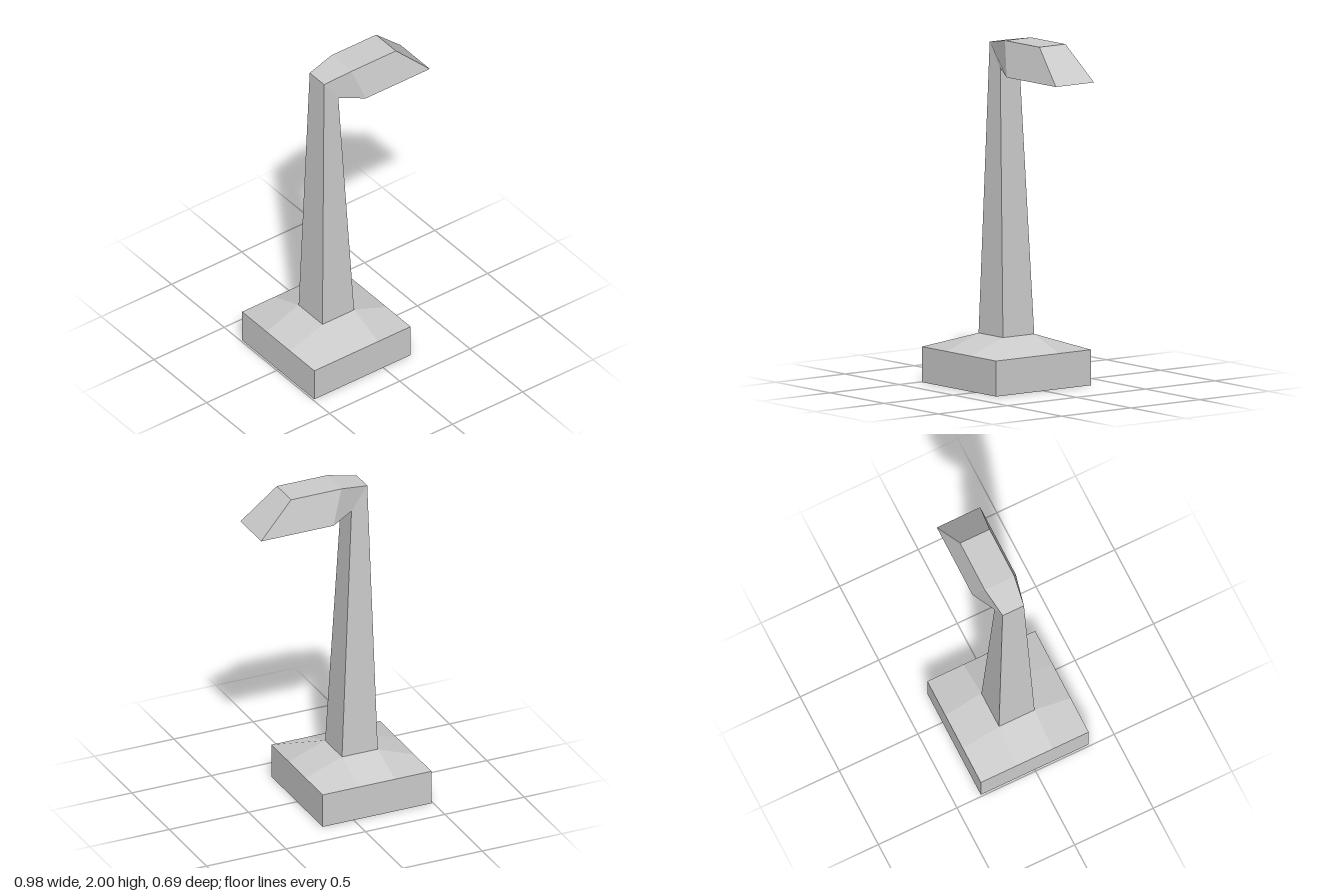
import * as THREE from 'three';

// Flat-shaded geometry from quads [a, b, c, d], split along a-c, one normal per quad.
function quadGeometry(quads) {
  const positions = [], normals = [];
  const ac = new THREE.Vector3(), bd = new THREE.Vector3();
  for (const [a, b, c, d] of quads) {
    ac.subVectors(c, a);
    bd.subVectors(d, b);
    const n = ac.clone().cross(bd).normalize();
    for (const p of [a, b, c, a, c, d]) {
      positions.push(p.x, p.y, p.z);
      normals.push(n.x, n.y, n.z);
    }
  }
  const g = new THREE.BufferGeometry();
  g.setAttribute('position', new THREE.Float32BufferAttribute(positions, 3));
  g.setAttribute('normal', new THREE.Float32BufferAttribute(normals, 3));
  return g;
}

// Four-cornered section, mirrored in z: outer (back/top) and inner (front/underside) edges.
function section([ox, oy, oz], [ix, iy, iz]) {
  return [
    new THREE.Vector3(ox, oy, oz), new THREE.Vector3(ix, iy, iz),
    new THREE.Vector3(ix, iy, -iz), new THREE.Vector3(ox, oy, -oz),
  ];
}

function loft(from, to) {
  return from.map((p, i) => {
    const j = (i + 1) % 4;
    return [p, from[j], to[j], to[i]];
  });
}

export function createModel() {
  const group = new THREE.Group();
  const grey = new THREE.MeshStandardMaterial({ color: 0xcccccc });
  grey.name = 'lightGrey';
  const add = (name, geometry) => {
    const mesh = new THREE.Mesh(geometry, grey);
    mesh.name = name;
    group.add(mesh);
  };

  // Square foot
  const base = new THREE.BoxGeometry(0.685, 0.205, 0.686);
  base.translate(-0.1475, 0.1025, 0);
  add('base', base);

  // Sloping collar: a 3 x 3 grid with the inner ring raised to the post
  const xs = [-0.49, -0.26, -0.035, 0.195];
  const zs = [-0.343, -0.113, 0.113, 0.343];
  const isInner = (i) => i === 1 || i === 2;
  const gridPoint = (i, j) =>
    new THREE.Vector3(xs[i], isInner(i) && isInner(j) ? 0.29 : 0.205, zs[j]);
  const collar = [];
  for (let i = 0; i < 3; i++) {
    for (let j = 0; j < 3; j++) {
      if (i === 1 && j === 1) continue;
      const q = [gridPoint(i, j + 1), gridPoint(i + 1, j + 1), gridPoint(i + 1, j), gridPoint(i, j)];
      if (i === j) q.push(q.shift()); // hip line runs from corner to post
      collar.push(q);
    }
  }
  add('collar', quadGeometry(collar));

  // Post, neck and lamp head share their joining sections
  const foot = section([-0.26, 0.29, 0.113], [-0.035, 0.29, 0.113]);
  const elbow = section([-0.215, 1.97, 0.068], [-0.115, 1.83, 0.07]);
  const shoulder = section([-0.04, 2, 0.094], [0.03, 1.8, 0.138]);
  const tip = section([0.277, 2, 0.094], [0.486, 1.8, 0.138]);
  add('post', quadGeometry(loft(foot, elbow)));
  add('neck', quadGeometry(loft(elbow, shoulder)));
  add('lampHead', quadGeometry([...loft(shoulder, tip), tip]));

  return group;
}
